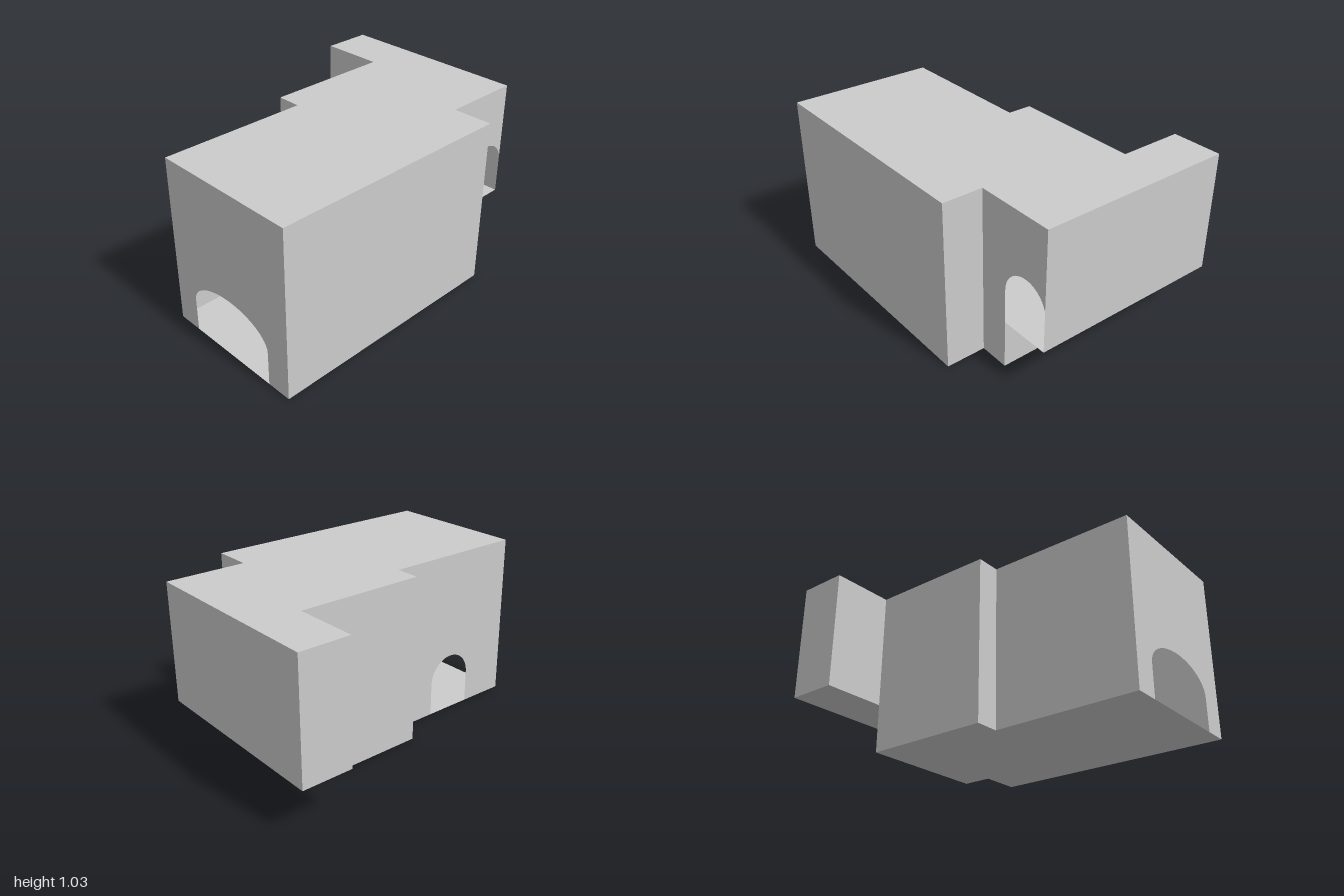
import * as THREE from 'three';

const HEIGHT = 1.028, RAISED = 0.3;   // roof level, floor level of the raised wing
const SPRING = 0.207, RISE = 0.157;   // arch jamb height and arch rise

const material = new THREE.MeshStandardMaterial({ color: 0xcccccc, side: THREE.DoubleSide, flatShading: true });

function addMesh(group, name, geometry) {
  const mesh = new THREE.Mesh(geometry, material);
  mesh.name = name;
  group.add(mesh);
  return mesh;
}

// Thin upright wall from a to b ([x, z]), optionally with an arched opening
function addWall(group, name, a, b, base, top, arch) {
  const dx = b[0] - a[0], dz = b[1] - a[1], length = Math.hypot(dx, dz);
  const points = [[length, top], [0, top]];
  if (arch) {
    const { centre, half } = arch;
    if (centre - half > 0.001) points.push([0, base], [centre - half, base]);
    for (let i = 0; i <= 24; i++) {
      const t = Math.PI * (1 - i / 24);
      const u = centre + half * Math.cos(t);
      points.push([Math.min(Math.max(u, 0), length), base + SPRING + RISE * Math.sin(t)]);
    }
    if (centre + half < length - 0.001) points.push([centre + half, base], [length, base]);
  } else {
    points.push([0, base], [length, base]);
  }
  const shape = new THREE.Shape(points.map(([u, y]) => new THREE.Vector2(u, y)));
  const wall = addMesh(group, name, new THREE.ShapeGeometry(shape));
  wall.position.set(a[0], 0, a[1]);
  wall.rotation.y = Math.atan2(-dz, dx);
}

// Thin level slab over an outline of [x, z] corners
function addSlab(group, name, outline, y) {
  const shape = new THREE.Shape(outline.map(([x, z]) => new THREE.Vector2(x, -z)));
  const geometry = new THREE.ShapeGeometry(shape).rotateX(-Math.PI / 2);
  addMesh(group, name, geometry).position.y = y;
}

export function createModel() {
  const group = new THREE.Group();
  group.name = 'building';

  // Corners of the plan, counter-clockwise seen from above
  const frontLeft = [-1, 0.727], frontRight = [0.508, 0.727], porchInner = [0.508, 0.483];
  const wingFront = [0.693, 0.483], wingFrontOuter = [1, 0.483];
  const wingBackOuter = [1, -0.727], wingBack = [0.693, -0.727], wingJoin = [0.693, -0.333];
  const stepOuter = [-0.095, -0.333], stepInner = [-0.095, -0.183], backEnd = [-1, -0.183];

  // Outer walls
  const walls = [
    ['frontWall', frontLeft, frontRight, 0],
    ['frontReturnWall', frontRight, porchInner, 0],
    ['porchWall', porchInner, wingFront, 0],
    ['wingFrontArchWall', wingFront, wingFrontOuter, RAISED, { centre: 0.157, half: 0.157 }],
    ['wingSideWall', wingFrontOuter, wingBackOuter, RAISED],
    ['wingBackWall', wingBackOuter, wingBack, RAISED],
    ['wingInnerArchWall', wingBack, wingJoin, RAISED, { centre: 0.157, half: 0.157 }],
    ['backWall', wingJoin, stepOuter, 0],
    ['backStepWall', stepOuter, stepInner, 0],
    ['backArchWall', stepInner, backEnd, 0, { centre: 0.449, half: 0.154 }],
    ['endArchWall', backEnd, frontLeft, 0, { centre: 0.456, half: 0.303 }],
  ];
  for (const [name, a, b, base, arch] of walls) addWall(group, name, a, b, base, HEIGHT, arch);

  // Low wall below the raised wing; above it the rooms are open to each other
  addWall(group, 'wingBaseWall', wingFront, wingJoin, 0, RAISED);

  // Roof and floors
  addSlab(group, 'roof', walls.map((w) => w[1]), HEIGHT);
  addSlab(group, 'mainFloor',
    [frontLeft, frontRight, porchInner, wingFront, wingJoin, stepOuter, stepInner, backEnd], 0);
  addSlab(group, 'wingFloor', [wingFront, wingFrontOuter, wingBackOuter, wingBack], RAISED);

  return group;
}
